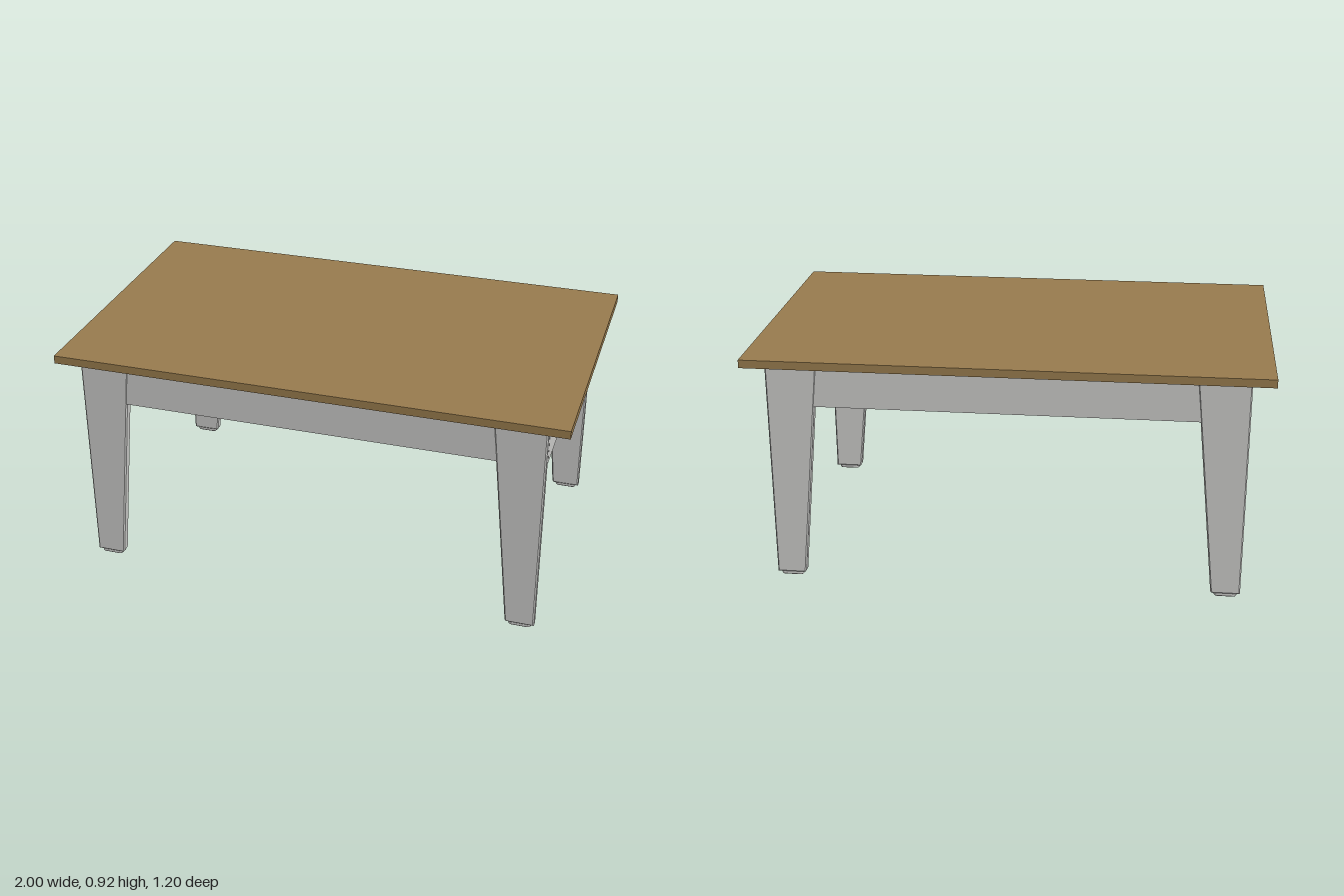
import * as THREE from 'three';

const T = 0.038;          // board thickness
const LEG_X = 0.915, LEG_Z = 0.55;
const UNDER = 0.89;       // underside of the top
const APRON_Y = 0.727;    // lower edge of the aprons

// Board cut from an outline, with softly chamfered edges; lies between z = 0 and z = depth
function board(points, depth, bevel) {
  const shape = new THREE.Shape(points.map(([x, y]) => new THREE.Vector2(x, y)));
  const geo = new THREE.ExtrudeGeometry(shape, {
    depth: depth - 2 * bevel, bevelEnabled: bevel > 0, bevelThickness: bevel,
    bevelSize: bevel, bevelOffset: -bevel, bevelSegments: 1,
  });
  return geo.translate(0, 0, bevel);
}

// Flat pill with rounded ends, standing on y = 0
function footGeometry(length, width, height) {
  const r = width / 2, h = length / 2 - r;
  const shape = new THREE.Shape();
  shape.absarc(h, 0, r, -Math.PI / 2, Math.PI / 2, false);
  shape.absarc(-h, 0, r, Math.PI / 2, Math.PI * 1.5, false);
  const b = 0.003;
  return new THREE.ExtrudeGeometry(shape, {
    depth: height - b, bevelEnabled: true, bevelThickness: b, bevelSize: b,
    bevelOffset: -b, bevelSegments: 1, curveSegments: 8,
  }).rotateX(-Math.PI / 2).translate(0, b, 0);
}

export function createModel() {
  const wood = new THREE.MeshStandardMaterial({ color: 0x997c4e });
  wood.name = 'wood';
  const paint = new THREE.MeshStandardMaterial({ color: 0xcacac8 });
  paint.name = 'light grey paint';

  const table = new THREE.Group();
  table.name = 'table';
  const add = (name, geo, mat, x = 0, y = 0, z = 0) => {
    const mesh = new THREE.Mesh(geo, mat);
    mesh.name = name;
    mesh.position.set(x, y, z);
    table.add(mesh);
    return mesh;
  };

  // Table top
  add('tableTop', new THREE.BoxGeometry(2, 0.032, 1.195), wood, 0, UNDER + 0.016, 0);

  // Tapered legs with small feet
  const footGeo = footGeometry(0.088, 0.028, 0.016);
  for (const sx of [1, -1]) for (const sz of [1, -1]) {
    const outline = [[0.805, 0.014], [LEG_X, 0.014], [LEG_X, UNDER], [0.715, UNDER], [0.8, 0.022]]
      .map(([x, y]) => [sx * x, y]);
    const z = sz > 0 ? LEG_Z - T : -LEG_Z;
    add('leg', board(outline, T, 0.005), paint, 0, 0, z);
    add('foot', footGeo, paint, sx * 0.858, 0, sz * (LEG_Z - T / 2));
  }

  // Long aprons, fitted between the sloping leg edges
  const apronOutline = [[-0.734, APRON_Y], [0.734, APRON_Y], [0.717, UNDER - 0.002], [-0.717, UNDER - 0.002]];
  const longApron = board(apronOutline, T, 0);
  add('frontApron', longApron, paint, 0, 0, LEG_Z - T);
  add('backApron', longApron, paint, 0, 0, -LEG_Z);

  // Short aprons between front and back legs
  const sideApron = new THREE.BoxGeometry(T, UNDER - APRON_Y, 2 * (LEG_Z - T));
  for (const sx of [1, -1])
    add('sideApron', sideApron, paint, sx * (LEG_X - T / 2), (UNDER + APRON_Y) / 2, 0);

  // Bolt heads on the inner faces
  const bolt = (r) => new THREE.CylinderGeometry(r, r, 0.012, 6).rotateX(Math.PI / 2);
  const bigBolt = bolt(0.02), smallBolt = bolt(0.013);
  for (const sx of [1, -1]) for (const sz of [1, -1]) {
    add('apronBolt', bigBolt, paint, sx * 0.653, 0.81, sz * (LEG_Z - T));
    add('legBolt', smallBolt, paint, sx * 0.82, 0.81, sz * (LEG_Z - T));
    add('sideApronBolt', bigBolt, paint, sx * (LEG_X - T), 0.81, sz * 0.436).rotation.y = Math.PI / 2;
  }

  return table;
}
